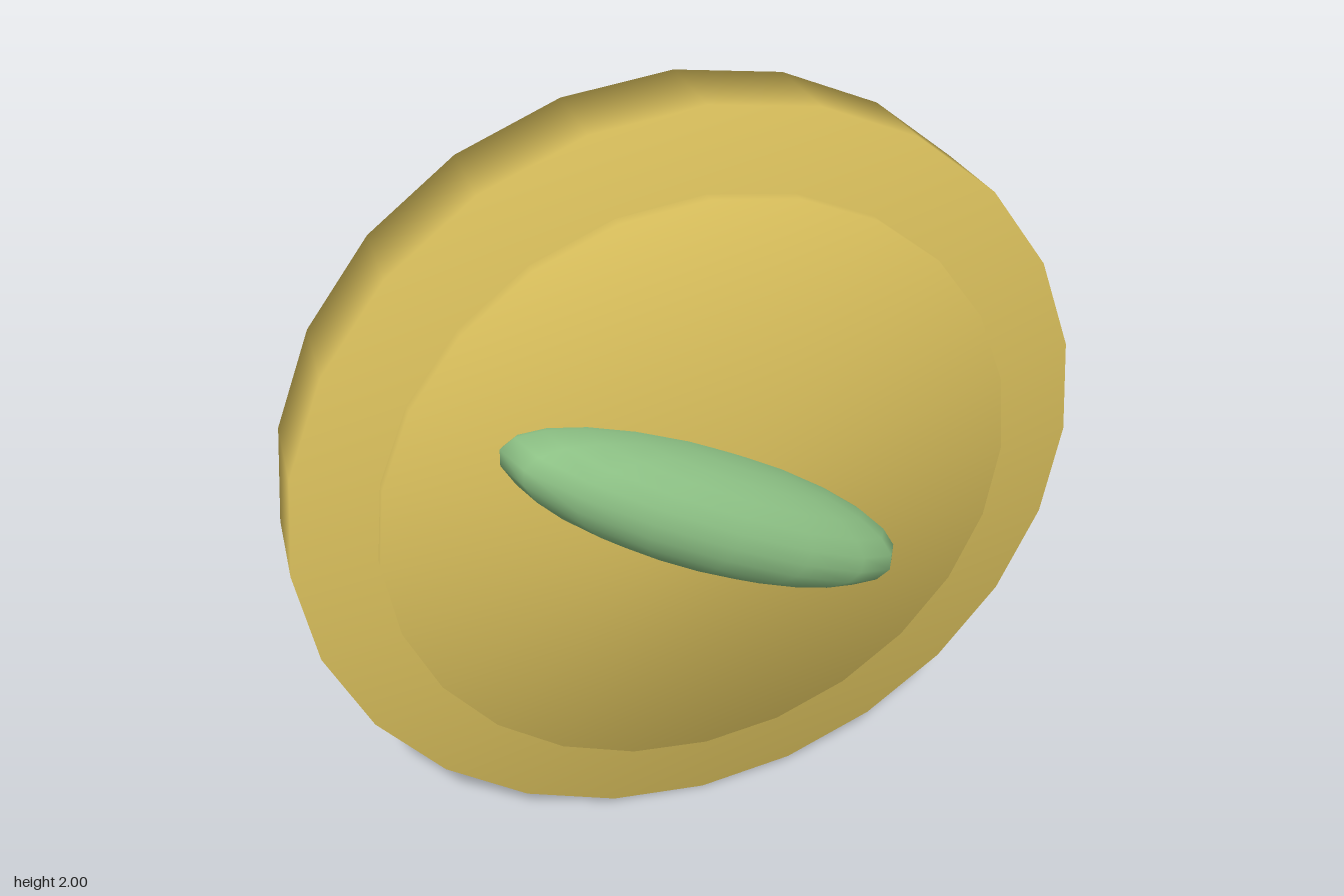
import * as THREE from 'three';
import { mergeVertices } from 'three/addons/utils/BufferGeometryUtils.js';

const gold = new THREE.MeshStandardMaterial({ color: 0xd9bf5c });
const green = new THREE.MeshStandardMaterial({ color: 0x8cc084 });
const darkGreen = new THREE.MeshStandardMaterial({ color: 0x7db373 });
const TILT = 0.5;

// Disc facing z, with normals blended over the rim so the faces look softly domed
function disc(name, radius, depth) {
  let geo = new THREE.CylinderGeometry(radius, radius, depth, 24);
  geo.deleteAttribute('uv');
  geo.deleteAttribute('normal');
  geo = mergeVertices(geo);
  geo.computeVertexNormals();
  geo.rotateX(Math.PI / 2);
  const mesh = new THREE.Mesh(geo, gold);
  mesh.name = name;
  mesh.position.set(0, 1, 0.01);
  return mesh;
}

// Slim slanted ellipsoid, poles along its narrow axis
function pod(name, z, tilt) {
  const geo = new THREE.SphereGeometry(1, 16, 12);
  geo.scale(0.575, 0.15, 0.177);
  const mesh = new THREE.Mesh(geo, green);
  mesh.name = name;
  mesh.rotation.z = tilt;
  mesh.position.set(0, 1, z);
  return mesh;
}

export function createModel() {
  const model = new THREE.Group();
  model.name = 'medallion';

  // Rim and the thicker inner plate standing proud on both faces
  model.add(disc('rim', 1, 0.23), disc('innerPlate', 0.8, 0.29));

  // One pod on each face, each slanting the same way seen from outside
  model.add(pod('frontPod', 0.173, -TILT), pod('backPod', -0.153, TILT));

  // Three bumps along the back pod
  for (const d of [-0.32, 0, 0.32]) {
    const bump = new THREE.Mesh(new THREE.SphereGeometry(0.072, 16, 12), darkGreen);
    bump.name = 'bump';
    bump.position.set(d * Math.cos(TILT), 1 + d * Math.sin(TILT), -0.281);
    model.add(bump);
  }
  return model;
}
